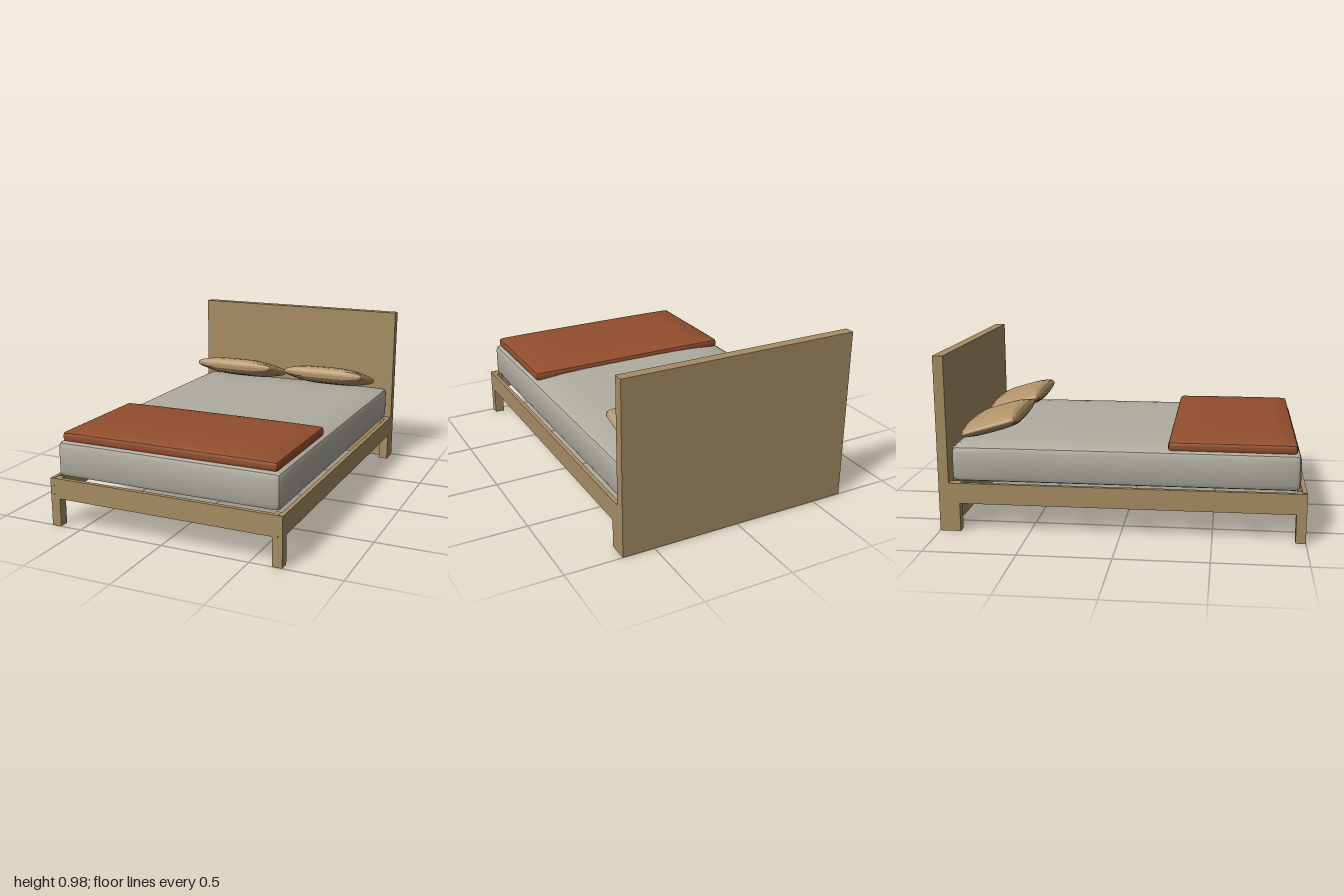
import * as THREE from 'three';
import { toCreasedNormals } from 'three/addons/utils/BufferGeometryUtils.js';

const material = (name, color) => {
  const m = new THREE.MeshStandardMaterial({ color });
  m.name = name;
  return m;
};

// Box with bevelled, rounded edges whose top (and optionally bottom) swells outward.
// taper thins the two ends along x.
function softBox(w, h, d, r, { dome = 0, bottomDome = 0, taper = 0, crease = 0.5 } = {}) {
  const size = [w, h, d], segs = [10, 3, 10];
  const geo = new THREE.BoxGeometry(2, 2, 2, ...segs);
  const pos = geo.attributes.position;
  for (let i = 0; i < pos.count; i++) {
    const t = [pos.getX(i), pos.getY(i), pos.getZ(i)];
    // inner core point plus an outward offset on the outermost ring
    const core = t.map((v, k) => THREE.MathUtils.clamp(v / (1 - 2 / segs[k]), -1, 1) * (size[k] / 2 - r));
    const out = new THREE.Vector3(...t.map((v) => (Math.abs(v) > 0.999 ? Math.sign(v) : 0))).setLength(r);
    const p = new THREE.Vector3(...core).add(out);
    const u = (2 * p.x) / w, v = (2 * p.z) / d;
    const swell = (1 - u ** 4) * (1 - v ** 4);
    if (t[1] > 0.999) p.y += dome * swell;
    if (t[1] < -0.999) p.y -= bottomDome * swell;
    p.y *= 1 - taper * u ** 4;
    pos.setXYZ(i, p.x, p.y, p.z);
  }
  return toCreasedNormals(geo, crease);
}

export function createModel() {
  const group = new THREE.Group();
  group.name = 'bed';
  const wood = material('wood', 0xa68d64);
  const sheet = material('mattressGrey', 0xb0aca0);
  const rust = material('blanketRust', 0x934e2e);
  const linen = material('pillowTan', 0xb3946a);

  const add = (name, geo, mat, x, y, z) => {
    const mesh = new THREE.Mesh(geo, mat);
    mesh.name = name;
    mesh.position.set(x, y, z);
    group.add(mesh);
    return mesh;
  };
  // Box given by its minimum and maximum corners
  const block = (name, a, b) =>
    add(name, new THREE.BoxGeometry(b[0] - a[0], b[1] - a[1], b[2] - a[2]), wood,
      (a[0] + b[0]) / 2, (a[1] + b[1]) / 2, (a[2] + b[2]) / 2);

  // Wooden frame
  block('headboard', [-0.68, 0, -1], [0.68, 0.978, -0.943]);
  block('footRail', [-0.655, 0.16, 0.975], [0.655, 0.275, 1]);
  for (const [side, s] of [['left', 1], ['right', -1]]) {
    const span = (a, b) => [Math.min(s * a, s * b), Math.max(s * a, s * b)];
    const [r0, r1] = span(0.657, 0.68);
    const [p0, p1] = span(0.625, 0.68);
    block(side + 'SideRail', [r0, 0.16, -0.943], [r1, 0.275, 1]);
    block(side + 'FrontLeg', [p0, 0, 0.945], [p1, 0.274, 0.9995]);
    block(side + 'BackLeg', [p0, 0, -0.943], [p1, 0.274, -0.885]);
  }

  // Bedding
  add('mattress', softBox(1.3, 0.2, 1.9, 0.03, { dome: 0.026 }), sheet, 0, 0.375, 0.016);
  add('blanket', softBox(1.256, 0.055, 0.69, 0.02, { dome: 0.016 }), rust, 0, 0.4985, 0.6);

  // Pillows leaning up toward the foot of the bed, flat faceted
  const pillowShape = softBox(0.535, 0.062, 0.325, 0.025,
    { dome: 0.022, bottomDome: 0.022, taper: 0.5, crease: 0.12 });
  for (const [name, x] of [['leftPillow', 0.308], ['rightPillow', -0.318]]) {
    add(name, pillowShape, linen, x, 0.567, -0.74).rotation.x = -0.29;
  }
  return group;
}
